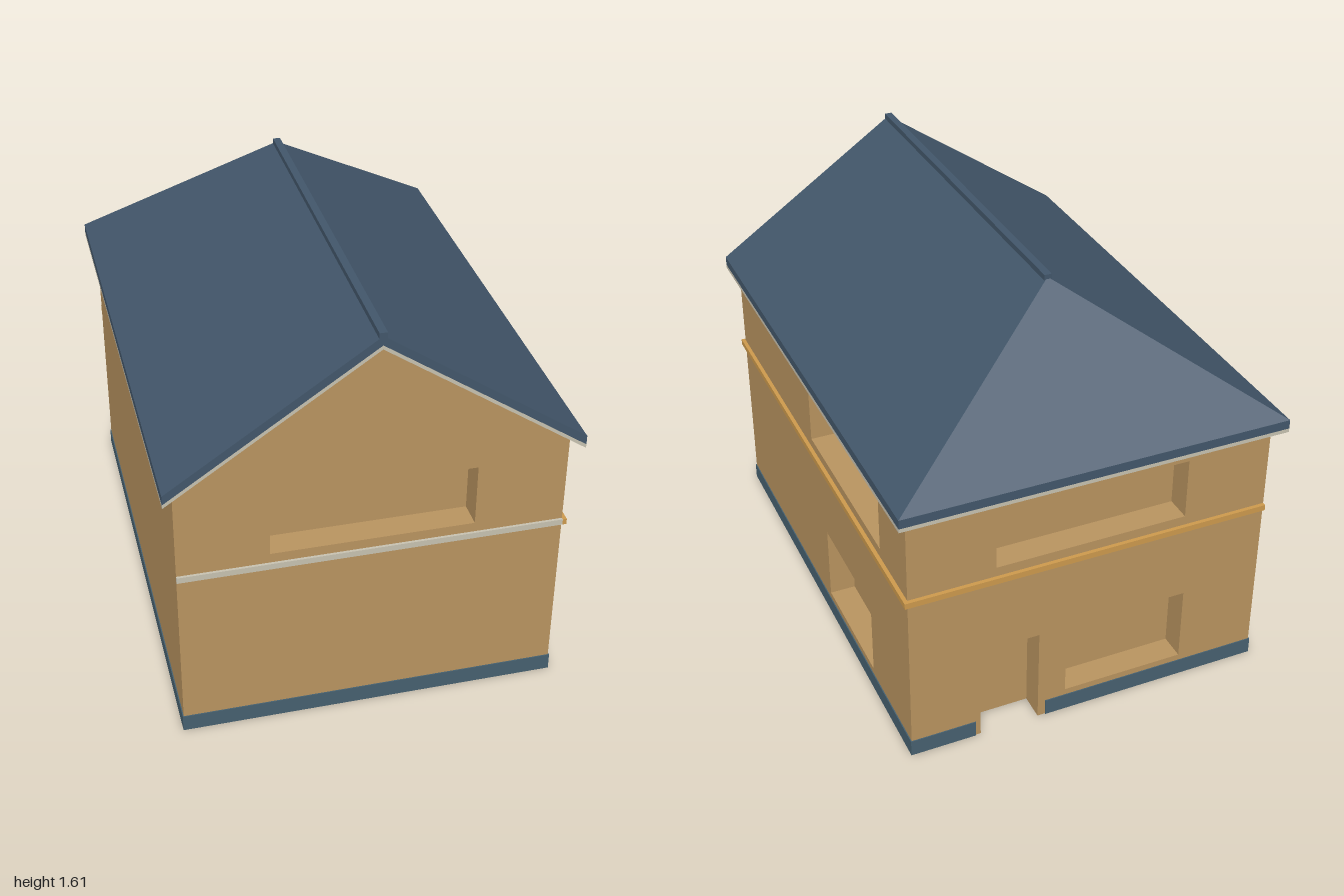
import * as THREE from 'three';

const paint = (color) => new THREE.MeshStandardMaterial({ color, flatShading: true });
const WALL = paint(0xb8935f);
const ROOF = paint(0x42566a);
const PLINTH = paint(0x46606f);
const BAND = paint(0xcc994c);
const TRIM = paint(0xc6c1b0);

const W = 0.7, L = 0.95, T = 0.1; // wall half width, half length, thickness
const EAVE = 1.072, PEAK = 1.55;

function add(parent, name, geometry, material) {
  const mesh = new THREE.Mesh(geometry, material);
  mesh.name = name;
  parent.add(mesh);
  return mesh;
}

// Box given by its extents
function box(parent, name, material, x0, x1, y0, y1, z0, z1) {
  const mesh = add(parent, name, new THREE.BoxGeometry(x1 - x0, y1 - y0, z1 - z0), material);
  mesh.position.set((x0 + x1) / 2, (y0 + y1) / 2, (z0 + z1) / 2);
  return mesh;
}

// Wall slab with rectangular openings [x0, x1, y0, y1]; outer face at local z = T
function wall(parent, name, outline, openings, angle, distance) {
  const shape = new THREE.Shape(outline.map(([x, y]) => new THREE.Vector2(x, y)));
  for (const [x0, x1, y0, y1] of openings) {
    shape.holes.push(new THREE.Path([
      new THREE.Vector2(x0, y0), new THREE.Vector2(x0, y1),
      new THREE.Vector2(x1, y1), new THREE.Vector2(x1, y0),
    ]));
  }
  const mesh = add(parent, name, new THREE.ExtrudeGeometry(shape, { depth: T, bevelEnabled: false }), WALL);
  mesh.rotation.y = angle;
  mesh.position.set(Math.sin(angle) * (distance - T), 0, Math.cos(angle) * (distance - T));
}

// Roof layer: gable at the front, hip at the back, with vertical edges
function roofLayer(top, thickness) {
  const rise = 0.505;
  const corners = [
    [0.74, 0, 1], [0.74, 0, -1], [-0.74, 0, -1], [-0.74, 0, 1], [0, rise, 1], [0, rise, -0.54],
  ];
  const slopes = [[0, 1, 5], [0, 5, 4], [2, 3, 4], [2, 4, 5], [1, 2, 5]];
  const rim = [0, 1, 2, 3, 4];
  const upper = corners.map(([x, y, z]) => [x, y + top, z]);
  const lower = corners.map(([x, y, z]) => [x, y + top - thickness, z]);
  const pos = [];
  const tri = (a, b, c) => pos.push(...a, ...b, ...c);
  for (const [a, b, c] of slopes) {
    tri(upper[a], upper[b], upper[c]);
    tri(lower[a], lower[c], lower[b]);
  }
  rim.forEach((a, i) => {
    const b = rim[(i + 1) % rim.length];
    tri(upper[a], lower[a], lower[b]);
    tri(upper[a], lower[b], upper[b]);
  });
  const geometry = new THREE.BufferGeometry();
  geometry.setAttribute('position', new THREE.Float32BufferAttribute(pos, 3));
  geometry.computeVertexNormals();
  return geometry;
}

export function createModel() {
  const house = new THREE.Group();
  house.name = 'house';

  // Walls, with recessed windows and a doorway open to the ground
  const walls = new THREE.Group();
  walls.name = 'walls';
  house.add(walls);
  const upperWindow = [-0.37, 0.37, 0.75, 0.99];
  wall(walls, 'frontGableWall',
    [[-W, 0], [W, 0], [W, EAVE], [0, PEAK], [-W, EAVE]], [upperWindow], 0, L);
  wall(walls, 'backWall',
    [[-W, 0], [-0.43, 0], [-0.43, 0.39], [-0.2, 0.39], [-0.2, 0], [W, 0], [W, EAVE], [-W, EAVE]],
    [upperWindow, [-0.09, 0.39, 0.09, 0.39]], Math.PI, L);
  const side = [[-L + T, 0], [L - T, 0], [L - T, EAVE], [-L + T, EAVE]];
  wall(walls, 'leftWall', side,
    [[-0.06, 0.69, 0.75, 0.99], [0.07, 0.56, 0.09, 0.39]], Math.PI / 2, W);
  wall(walls, 'rightWall', side, [], -Math.PI / 2, W);
  // Core closes the backs of the recesses
  box(walls, 'recessBacking', WALL, -W + T, W - T, 0, 1.06, -L + T, L - T);

  // Plinth strips, interrupted at the doorway
  const plinth = new THREE.Group();
  plinth.name = 'plinth';
  house.add(plinth);
  const p = 0.004, ph = 0.065;
  box(plinth, 'plinthFront', PLINTH, -W - p, W + p, 0, ph, L, L + p);
  box(plinth, 'plinthBackWide', PLINTH, -W - p, 0.17, 0, ph, -L - p, -L);
  box(plinth, 'plinthBackNarrow', PLINTH, 0.45, W + p, 0, ph, -L - p, -L);
  box(plinth, 'plinthLeft', PLINTH, W, W + p, 0, ph, -L, L);
  box(plinth, 'plinthRight', PLINTH, -W - p, -W, 0, ph, -L, L);

  // Storey bands
  const b0 = 0.69, b1 = 0.713, b = 0.015;
  box(house, 'frontBand', TRIM, -W, W, b0, b1, L, L + 0.01);
  box(house, 'leftBand', BAND, W, W + b, b0, b1, -L - b, L + 0.01);
  box(house, 'backBand', BAND, -W, W, b0, b1, -L - b, -L);

  // Roof covering, pale trim beneath it, and ridge cap
  const roof = new THREE.Group();
  roof.name = 'roof';
  house.add(roof);
  add(roof, 'roofCovering', roofLayer(1.095, 0.035), ROOF);
  add(roof, 'roofTrim', roofLayer(1.06, 0.015), TRIM);
  box(roof, 'ridgeCap', ROOF, -0.014, 0.014, 1.58, 1.612, -0.545, 1);

  return house;
}
